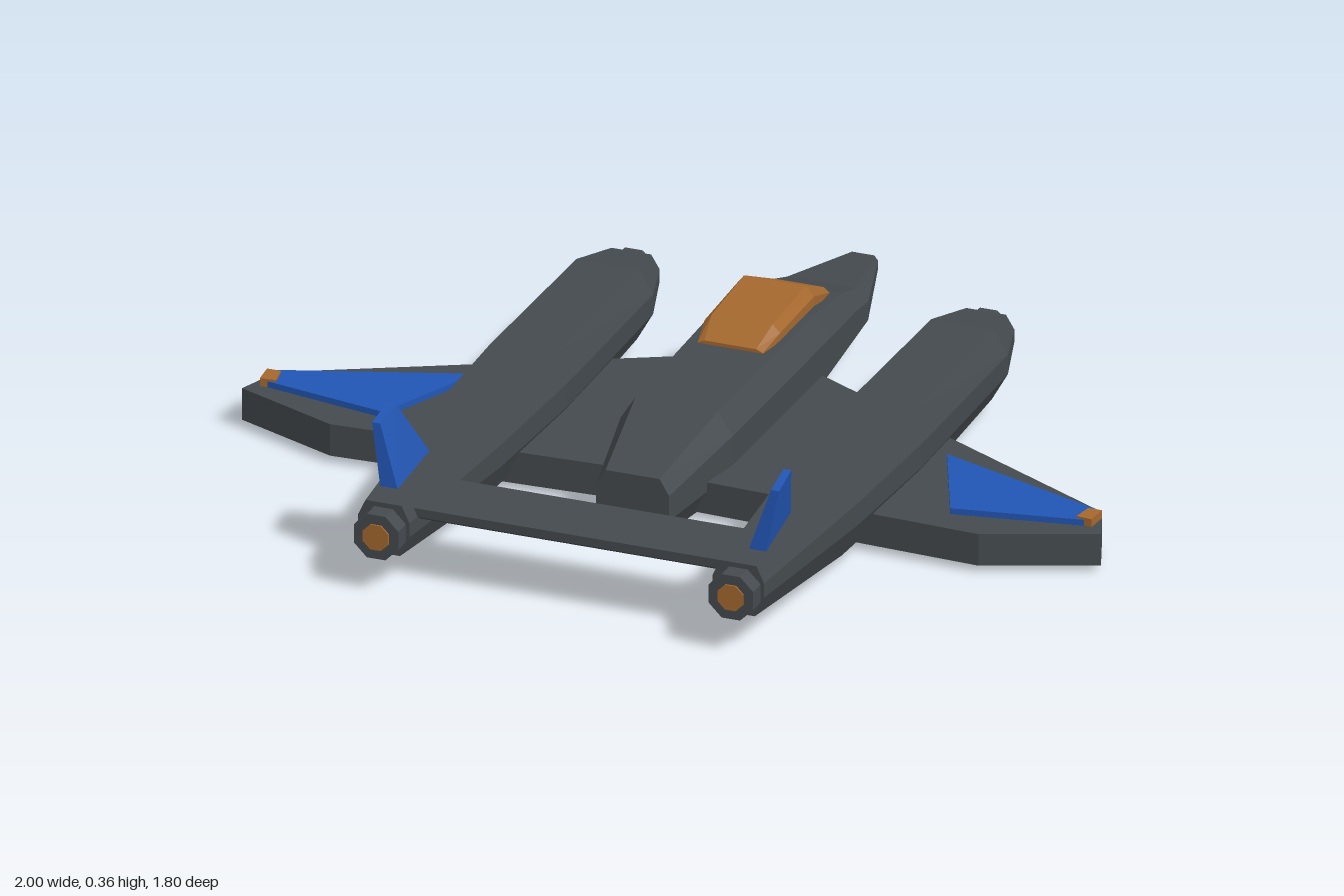
import * as THREE from 'three';
import { ConvexGeometry } from 'three/addons/geometries/ConvexGeometry.js';

const material = (name, color) => {
  const m = new THREE.MeshStandardMaterial({ color });
  m.name = name;
  return m;
};

// Flat-faced body through chamfered eight-sided sections [z, halfWidth, yBottom, yTop],
// with flat fractions for the top, the bottom and the sides
function loft(sections, top, bottom, sideLow, sideHigh) {
  const rings = sections.map(([z, w, y0, y1]) => {
    const a = y0 + (y1 - y0) * sideLow, b = y0 + (y1 - y0) * sideHigh;
    return [[w, a], [w, b], [w * top, y1], [-w * top, y1],
      [-w, b], [-w, a], [-w * bottom, y0], [w * bottom, y0]].map(([x, y]) => [x, y, z]);
  });
  const pos = [];
  const tri = (...pts) => pts.forEach((p) => pos.push(...p));
  for (let k = 0; k < rings.length - 1; k++) {
    const a = rings[k], b = rings[k + 1];
    for (let i = 0; i < 8; i++) {
      const j = (i + 1) % 8;
      tri(a[i], a[j], b[j]);
      tri(a[i], b[j], b[i]);
    }
  }
  const first = rings[0], last = rings[rings.length - 1];
  for (let i = 1; i < 7; i++) {
    tri(first[0], first[i + 1], first[i]);
    tri(last[0], last[i], last[i + 1]);
  }
  const g = new THREE.BufferGeometry();
  g.setAttribute('position', new THREE.Float32BufferAttribute(pos, 3));
  g.computeVertexNormals();
  return g;
}

// Convex solid from corner points, mirrored in x when s is -1
const hull = (points, s = 1) =>
  new ConvexGeometry(points.map(([x, y, z]) => new THREE.Vector3(x * s, y, z)));

// Plate with an outline in plan view [x, z] between two heights
const plate = (outline, y0, y1, s) =>
  hull(outline.flatMap(([x, z]) => [[x, y0, z], [x, y1, z]]), s);

// Eight-sided drum lying along z
function drum(radius, z0, z1, x, y) {
  const g = new THREE.CylinderGeometry(radius, radius, z1 - z0, 8).toNonIndexed();
  g.rotateY(Math.PI / 8);
  g.rotateX(Math.PI / 2);
  g.translate(x, y, (z0 + z1) / 2);
  g.computeVertexNormals();
  return g;
}

export function createModel() {
  const model = new THREE.Group();
  model.name = 'twinBoomAircraft';
  const grey = material('hullGrey', 0x444a4e);
  const blue = material('accentBlue', 0x2256b4);
  const amber = material('amber', 0xa4682e);

  const add = (name, geometry, mat, parent = model) => {
    const mesh = new THREE.Mesh(geometry, mat);
    mesh.name = name;
    parent.add(mesh);
  };

  // Central fuselage, pointed towards -z
  add('fuselage', loft([
    [-0.9, 0.035, 0.065, 0.11],
    [-0.66, 0.108, 0.035, 0.145],
    [-0.56, 0.12, 0.025, 0.178],
    [-0.36, 0.14, 0.01, 0.217],
    [0.18, 0.13, 0.004, 0.217],
    [0.435, 0.085, 0.012, 0.16],
  ], 0.74, 0.66, 0.35, 0.75), grey);

  // Faceted canopy
  add('canopy', loft([
    [-0.54, 0.066, 0.165, 0.195],
    [-0.39, 0.09, 0.2, 0.266],
    [-0.2, 0.088, 0.205, 0.256],
    [-0.13, 0.076, 0.205, 0.225],
  ], 0.8, 0.8, 0.3, 0.65), amber);

  // Bar joining the tails of the two booms
  const barProfile = [[0.16, 0.645], [0.18, 0.645], [0.19, 0.66],
    [0.19, 0.795], [0.18, 0.81], [0.16, 0.81], [0.15, 0.795], [0.15, 0.66]];
  add('tailBar', hull(barProfile.flatMap(([y, z]) => [[-0.38, y, z], [0.38, y, z]])), grey);

  for (const [side, s] of [['left', 1], ['right', -1]]) {
    const half = new THREE.Group();
    half.name = side + 'Side';
    model.add(half);
    const x = 0.413 * s;

    // Wing, its painted panel and tip light
    add('wing', plate([[0, -0.39], [0.96, 0.105], [1, 0.21], [0.755, 0.31], [0, 0.278]],
      0.02, 0.095, s), grey, half);
    add('wingPanel', plate([[0.55, -0.018], [0.968, 0.128], [0.95, 0.185], [0.66, 0.237]],
      0.094, 0.109, s), blue, half);
    add('tipLight', plate([[0.94, 0.134], [0.972, 0.134], [0.968, 0.186], [0.932, 0.182]],
      0.094, 0.114, s), amber, half);

    // Engine boom with intake, nozzle and glowing exhaust
    const boom = loft([
      [-0.585, 0.066, 0.08, 0.18],
      [-0.45, 0.105, 0.04, 0.207],
      [0.05, 0.105, 0.022, 0.22],
      [0.4, 0.093, 0.034, 0.22],
      [0.85, 0.06, 0.08, 0.2],
    ], 0.7, 0.64, 0.4, 0.68);
    boom.translate(x, 0, 0);
    add('engineBoom', boom, grey, half);
    add('intake', drum(0.053, -0.6, -0.54, x, 0.13), grey, half);
    add('nozzle', drum(0.056, 0.83, 0.893, x, 0.137), grey, half);
    add('exhaustGlow', drum(0.032, 0.89, 0.897, x, 0.137), amber, half);

    // Tail fin leaning outwards
    add('tailFin', hull([
      [0.405, 0.19, 0.575], [0.425, 0.19, 0.575], [0.405, 0.19, 0.78], [0.447, 0.19, 0.78],
      [0.452, 0.36, 0.685], [0.47, 0.36, 0.685], [0.455, 0.345, 0.765], [0.474, 0.345, 0.765],
    ], s), blue, half);
  }
  return model;
}
